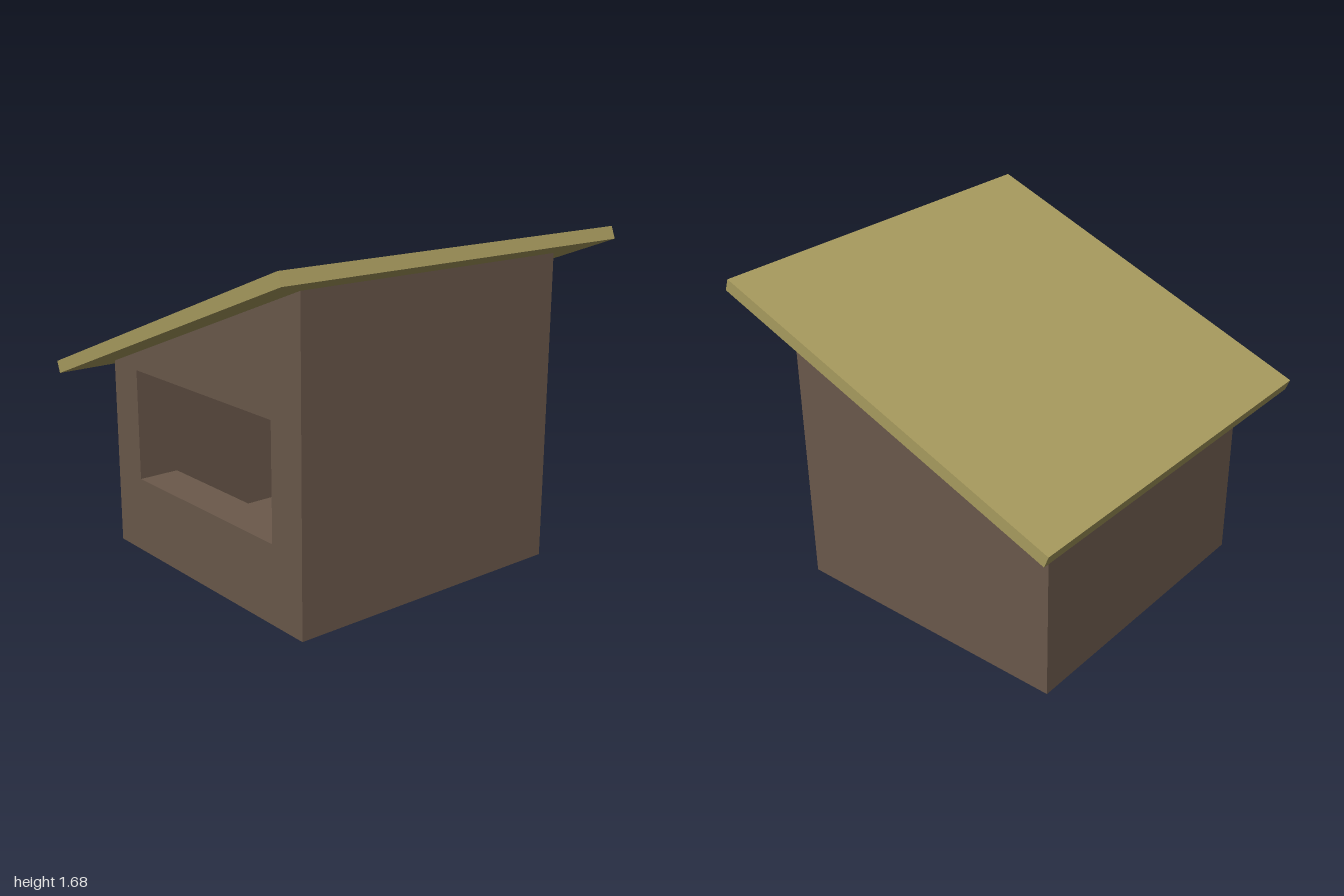
import * as THREE from 'three';

const SLOPE = 0.363;                       // roof pitch in radians
const ROOF_Y = 1.294, ROOF_T = 0.063;
const X = 0.767, Z = 0.77;                 // outer half sizes of the house
const IX = 0.555, IZF = 0.555, IZB = -0.63; // inner room limits
const FLOOR = 0.1, SILL = 0.39, HEAD = 0.96;

// height of the roof's underside at x
const under = (x) => ROOF_Y + x * Math.tan(SLOPE) - ROOF_T / 2 / Math.cos(SLOPE);

// flat four-cornered faces, corners counter-clockwise seen from the visible side
function quads(faces) {
  const pos = [];
  for (const [a, b, c, d] of faces) pos.push(...a, ...b, ...c, ...a, ...c, ...d);
  const g = new THREE.BufferGeometry();
  g.setAttribute('position', new THREE.Float32BufferAttribute(pos, 3));
  g.computeVertexNormals();
  return g;
}

// face across the house at depth z, from y = lo to hi(x); dir 1 faces +z, -1 faces -z
function across(hx, lo, hi, z, dir) {
  const l = -hx * dir, r = hx * dir;
  return [[l, lo, z], [r, lo, z], [r, hi(r), z], [l, hi(l), z]];
}

// side face at x between z0 and z1; dir 1 faces +x, -1 faces -x
function side(x, lo, hi, z0, z1, dir) {
  const [a, b] = dir > 0 ? [z1, z0] : [z0, z1];
  return [[x, lo, a], [x, lo, b], [x, hi, b], [x, hi, a]];
}

// level face at y; dir 1 faces up, -1 faces down
function level(hx, y, z0, z1, dir) {
  const [a, b] = dir > 0 ? [z1, z0] : [z0, z1];
  return [[-hx, y, a], [hx, y, a], [hx, y, b], [-hx, y, b]];
}

export function createModel() {
  const group = new THREE.Group();
  const wood = new THREE.MeshStandardMaterial({ name: 'brown wall', color: 0x6b594b });
  const olive = new THREE.MeshStandardMaterial({ name: 'olive roof', color: 0xa89b5e });
  const add = (name, geometry, material) => {
    const mesh = new THREE.Mesh(geometry, material);
    mesh.name = name;
    group.add(mesh);
    return mesh;
  };

  // front face with the wide opening
  const front = new THREE.Shape([[-X, 0], [X, 0], [X, under(X)], [-X, under(-X)]]
    .map(([x, y]) => new THREE.Vector2(x, y)));
  front.holes.push(new THREE.Path([[-IX, SILL], [-IX, HEAD], [IX, HEAD], [IX, SILL]]
    .map(([x, y]) => new THREE.Vector2(x, y))));
  add('frontWall', new THREE.ShapeGeometry(front), wood).position.z = Z;

  // outer sides, back and base
  add('outerWalls', quads([
    side(X, 0, under(X), -Z, Z, 1),
    side(-X, 0, under(-X), -Z, Z, -1),
    across(X, 0, under, -Z, -1),
    level(X, 0, -Z, Z, -1),
  ]), wood);

  // thickness of the opening
  add('openingReveal', quads([
    level(IX, SILL, IZF, Z, 1),
    level(IX, HEAD, IZF, Z, -1),
    side(-IX, SILL, HEAD, IZF, Z, 1),
    side(IX, SILL, HEAD, IZF, Z, -1),
  ]), wood);

  // hollow room, open up to the roof
  add('innerRoom', quads([
    level(IX, FLOOR, IZB, IZF, 1),
    across(IX, FLOOR, under, IZB, 1),
    side(-IX, FLOOR, under(-IX), IZB, IZF, 1),
    side(IX, FLOOR, under(IX), IZB, IZF, -1),
    across(IX, FLOOR, () => SILL, IZF, -1),
    across(IX, HEAD, under, IZF, -1),
  ]), wood);

  // single pitched roof slab
  const roof = add('roof', new THREE.BoxGeometry(1.996, ROOF_T, 2), olive);
  roof.position.y = ROOF_Y;
  roof.rotation.z = SLOPE;

  return group;
}
